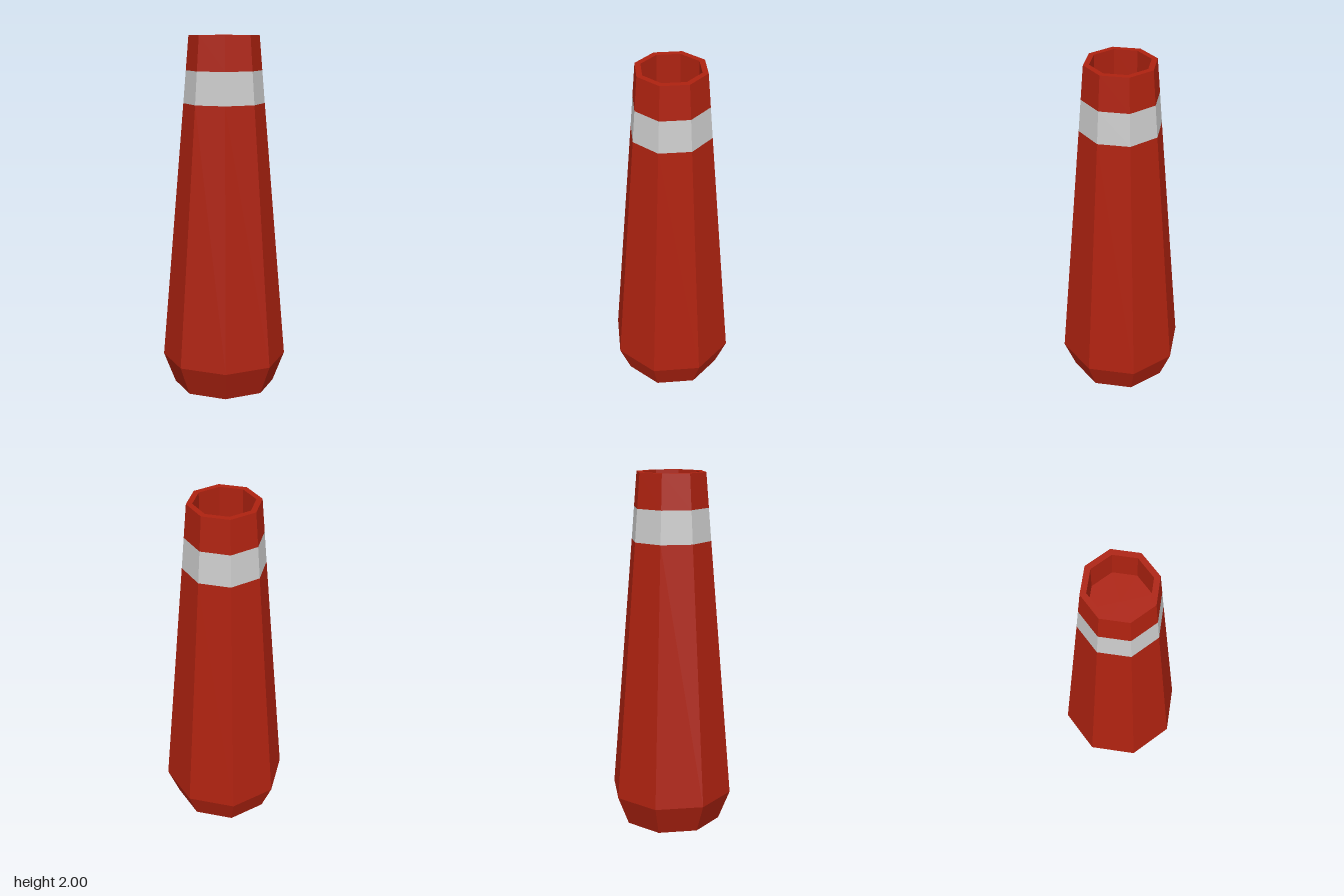
import * as THREE from 'three';

const SIDES = 8;

// Eight-sided faceted ring or solid turned from a [radius, height] profile
function turned(name, profile, color) {
  const points = profile.map(([r, y]) => new THREE.Vector2(r, y));
  const mesh = new THREE.Mesh(
    new THREE.LatheGeometry(points, SIDES),
    new THREE.MeshStandardMaterial({ color, flatShading: true })
  );
  mesh.name = name;
  return mesh;
}

export function createModel() {
  const group = new THREE.Group();
  group.name = 'taperedPost';
  const red = 0xae2210;

  // Closed base, chamfered foot and long tapering shaft
  group.add(turned('body', [[0, 0], [0.286, 0], [0.352, 0.17], [0.226, 1.63]], red));

  // Pale band flush with the taper
  group.add(turned('band', [[0.226, 1.63], [0.211, 1.81]], 0xcccccc));

  // Neck with a flat rim and a straight-walled recess
  group.add(turned('neck', [[0.211, 1.81], [0.195, 2], [0.163, 2], [0.163, 1.81], [0, 1.81]], red));

  return group;
}
